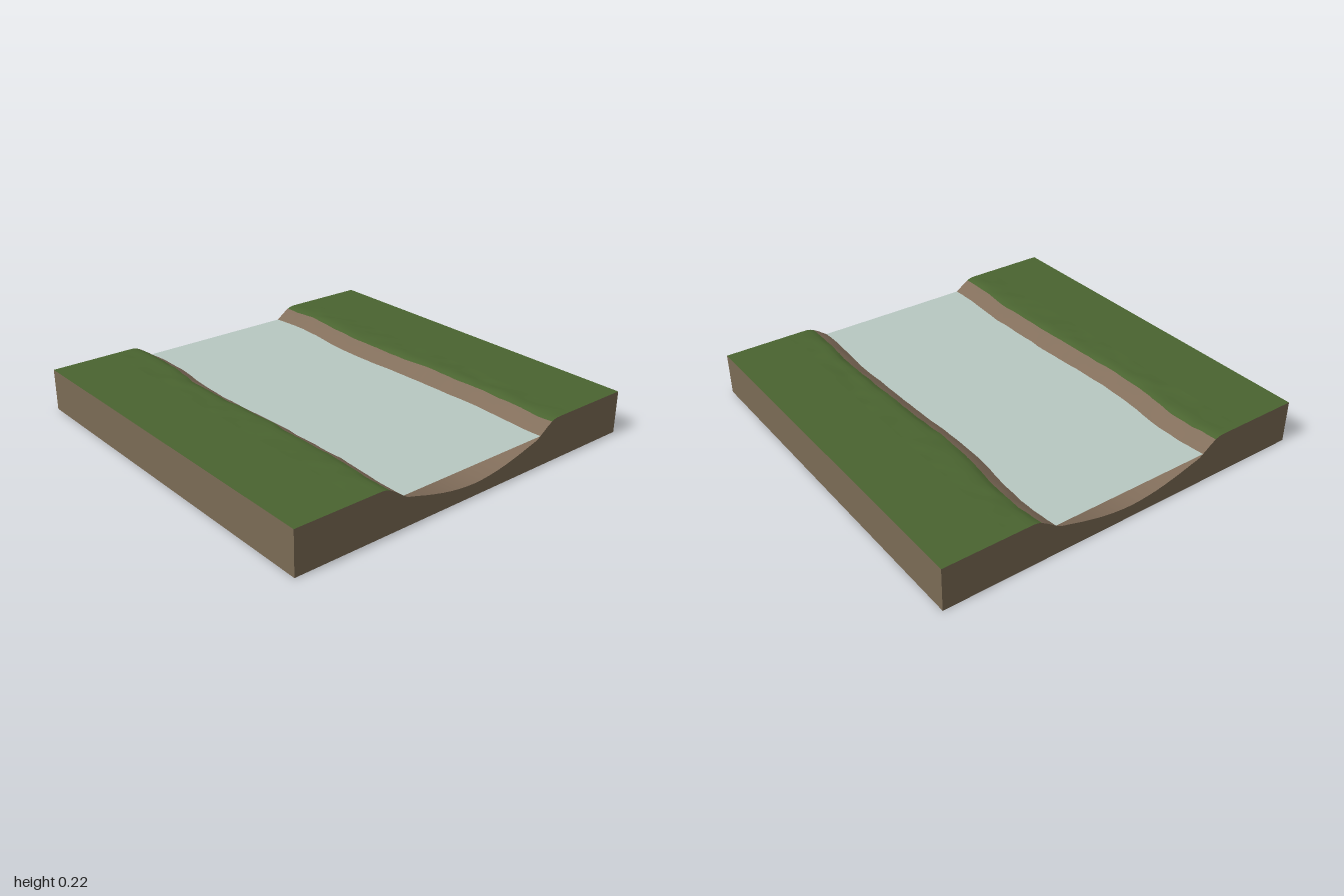
import * as THREE from 'three';

const TOP = 0.22;
const WATER = 0.158;
const COLUMNS = 72;

// Half cross-section of the channel: distance from the centre, height
const PROFILE = [
  [0, 0.063], [0.05, 0.065], [0.1, 0.07], [0.15, 0.077], [0.2, 0.087], [0.25, 0.099], [0.3, 0.112],
  [0.35, 0.127], [0.39, 0.138], [0.41, 0.145], [0.43, 0.158], [0.455, 0.176], [0.48, 0.194], [0.505, 0.209],
];
const VERGE = [[0.505, 0.209], [0.52, 0.215], [0.54, 0.2195], [0.57, TOP], [0.6, TOP], [0.63, TOP], [0.66, TOP]];
const FIELD = [[0.66, TOP], [1, TOP]];

// Sideways drift of the channel along x
const MEANDER = new THREE.SplineCurve([
  [-1, 0], [-0.75, -0.016], [-0.35, 0.017], [0.1, -0.002], [0.3, -0.007], [0.62, -0.012], [0.88, 0.003], [1, 0],
].map(([x, z]) => new THREE.Vector2(x, z))).getPoints(140);

function meander(x) {
  const i = Math.max(1, MEANDER.findIndex((p) => p.x >= x - 1e-6));
  const a = MEANDER[i - 1], b = MEANDER[i];
  return THREE.MathUtils.lerp(a.y, b.y, THREE.MathUtils.clamp((x - a.x) / (b.x - a.x), 0, 1));
}

function hash(x, z) {
  const s = Math.sin(x * 127.1 + z * 311.7) * 43758.5453;
  return (s - Math.floor(s)) * 2 - 1;
}

// Smoothly blended seeded noise
function noise(x, z) {
  const i = Math.floor(x), j = Math.floor(z);
  const u = THREE.MathUtils.smoothstep(x - i, 0, 1), v = THREE.MathUtils.smoothstep(z - j, 0, 1);
  const { lerp } = THREE.MathUtils;
  return lerp(lerp(hash(i, j), hash(i + 1, j), u), lerp(hash(i, j + 1), hash(i + 1, j + 1), u), v);
}

// Ground point: flat at the outer rim, drifting and rough near the river
function groundPoint(x, z, y) {
  const d = Math.abs(z);
  const rim = Math.min(1, (1 - Math.abs(x)) / 0.08);
  const drift = 1 - THREE.MathUtils.smoothstep(d, 0.52, 0.66);
  const rough = rim * THREE.MathUtils.smoothstep(d, 0.36, 0.5) * (d < 0.9 ? 1 : 0);
  return [
    x,
    y + rough * 0.0035 * noise(x * 14 + 40, z * 22 + 9),
    z + drift * (meander(x) + rough * 0.004 * noise(x * 22, z * 3 + 70)),
  ];
}

// Surface swept along x through rows [z, y] sorted by rising z
function groundStrip(name, rows, material) {
  const positions = [], indices = [], n = rows.length;
  for (let i = 0; i <= COLUMNS; i++) {
    const x = -1 + (2 * i) / COLUMNS;
    rows.forEach(([z, y]) => positions.push(...groundPoint(x, z, y)));
  }
  for (let i = 0; i < COLUMNS; i++) {
    for (let j = 0; j < n - 1; j++) {
      const a = i * n + j, c = a + n;
      indices.push(a, a + 1, c, c, a + 1, c + 1);
    }
  }
  const geometry = new THREE.BufferGeometry();
  geometry.setAttribute('position', new THREE.Float32BufferAttribute(positions, 3));
  geometry.setIndex(indices);
  geometry.computeVertexNormals();
  return named(name, geometry, material);
}

function named(name, geometry, material) {
  const mesh = new THREE.Mesh(geometry, material);
  mesh.name = name;
  return mesh;
}

const mirrored = (rows) => rows.map(([z, y]) => [-z, y]).reverse();

export function createModel() {
  const grass = new THREE.MeshStandardMaterial({ color: 0x4a6430 });
  grass.name = 'grass';
  const earth = new THREE.MeshStandardMaterial({ color: 0x7b6b55 });
  earth.name = 'earth';
  const bank = new THREE.MeshStandardMaterial({ color: 0x826e5b });
  bank.name = 'bank soil';
  const water = new THREE.MeshStandardMaterial({ color: 0xb8c8c2, side: THREE.DoubleSide });
  water.name = 'water';

  const model = new THREE.Group();
  model.name = 'riverTile';

  // River bed with both banks
  const bed = [...mirrored(PROFILE), ...PROFILE.slice(1)];
  model.add(groundStrip('riverBed', bed, bank));

  // Grass on both sides
  for (const [part, rows] of [['Verge', VERGE], ['Field', FIELD]]) {
    model.add(groundStrip('front' + part, rows, grass));
    model.add(groundStrip('back' + part, mirrored(rows), grass));
  }

  // Water sheet, its long edges buried in the banks
  const sheet = new THREE.PlaneGeometry(2, 0.92).rotateX(-Math.PI / 2).translate(0, WATER, 0);
  model.add(named('waterSurface', sheet, water));

  // Cut ends showing the channel profile
  const half = [...PROFILE, ...VERGE.slice(1), FIELD[1]];
  const outline = [...mirrored(half), ...half.slice(1), [1, 0], [-1, 0]];
  const section = new THREE.Shape(outline.map(([z, y]) => new THREE.Vector2(z, y)));
  for (const [name, side] of [['leftEnd', 1], ['rightEnd', -1]]) {
    const end = new THREE.ShapeGeometry(section).rotateY((side * Math.PI) / 2).translate(side, 0, 0);
    model.add(named(name, end, earth));
  }

  // Front and back walls, underside
  for (const [name, turn] of [['frontWall', 0], ['backWall', Math.PI]]) {
    const wall = new THREE.PlaneGeometry(2, TOP).translate(0, TOP / 2, 1).rotateY(turn);
    model.add(named(name, wall, earth));
  }
  model.add(named('underside', new THREE.PlaneGeometry(2, 2).rotateX(Math.PI / 2), earth));

  return model;
}
